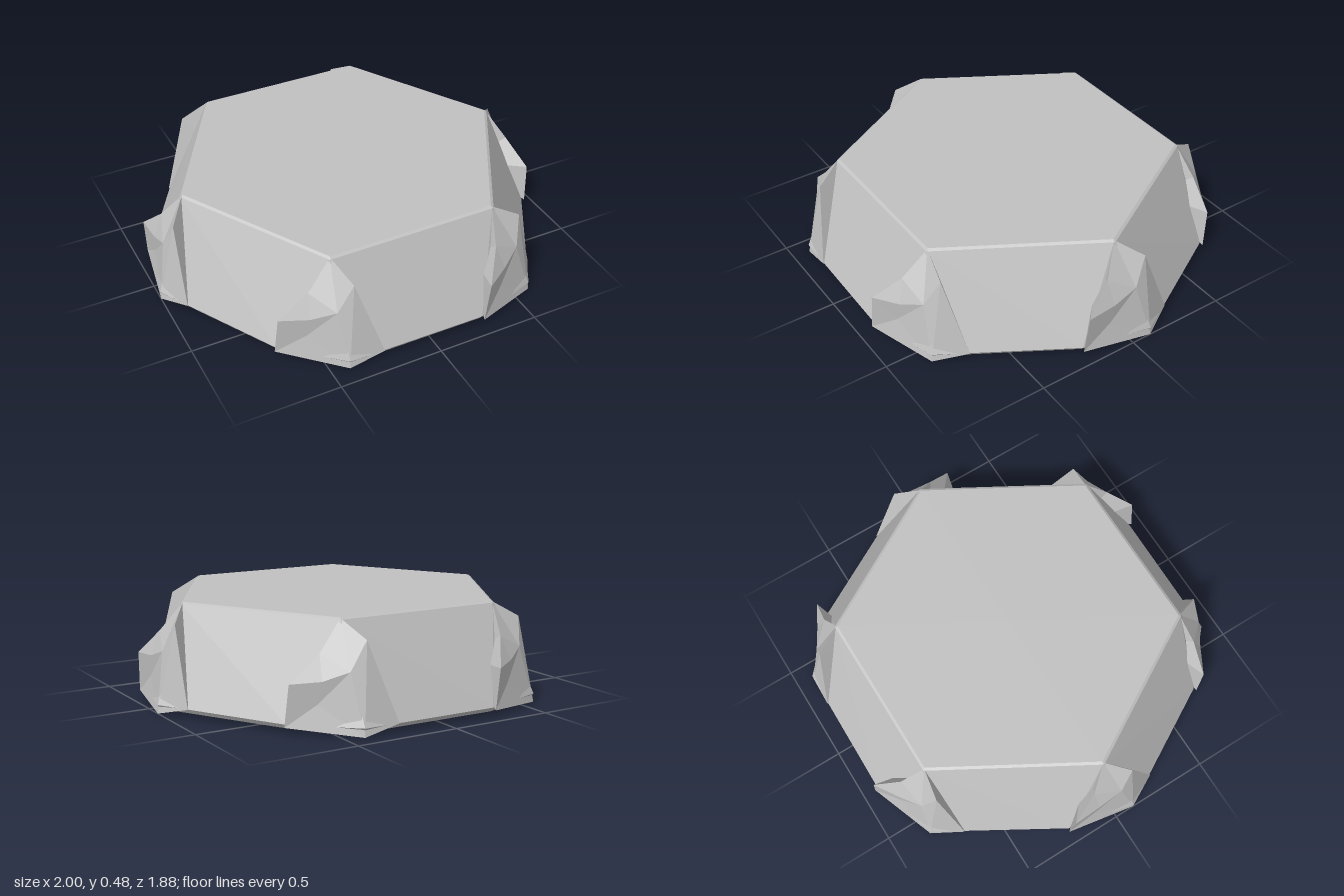
import * as THREE from 'three';

const stone = new THREE.MeshStandardMaterial({ color: 0xc0c0c0 });
stone.name = 'grey stone';
stone.flatShading = true;

function meshFrom(points, faces, name) {
  const geo = new THREE.BufferGeometry();
  geo.setAttribute('position', new THREE.Float32BufferAttribute(points.flat(), 3));
  geo.setIndex(faces.flat());
  const flat = geo.toNonIndexed();
  flat.computeVertexNormals();
  const mesh = new THREE.Mesh(flat, stone);
  mesh.name = name;
  return mesh;
}

// Hexagonal slab: each ring has two points per corner, spread apart at the foot
function makeSlab() {
  const rings = [ // height, then x and z of the two points at a corner
    [0.48, 0.815, 0, 0.815, 0],
    [0.472, 0.828, -0.003, 0.826, 0.006],
    [0.04, 1.0, -0.1, 0.93, 0.235],
    [0.02, 0.985, -0.1, 0.915, 0.232],
  ];
  const points = [], faces = [], n = 12;
  for (const [y, ax, az, bx, bz] of rings) {
    for (let k = 0; k < 6; k++) {
      const c = Math.cos(k * Math.PI / 3), s = Math.sin(k * Math.PI / 3);
      for (const [x, z] of [[ax, az], [bx, bz]]) points.push([x * c - z * s, y, x * s + z * c]);
    }
  }
  const last = (rings.length - 1) * n, top = points.length, bottom = top + 1;
  points.push([0, 0.48, 0], [0, 0.02, 0]);
  for (let i = 0; i < n; i++) {
    const j = (i + 1) % n;
    for (let r = 0; r < last; r += n) {
      faces.push([r + n + i, r + i, r + j], [r + n + i, r + j, r + n + j]);
    }
    faces.push([top, j, i], [bottom, last + i, last + j]);
  }
  return meshFrom(points, faces, 'hexagonalSlab');
}

// Craggy rock on the +x corner: an outline, a few inner points and a buried root
function makeRock() {
  const points = [
    [0.82, 0.478, 0],      // 0 peak
    [0.90, 0.34, 0.09],    // 1 shoulder
    [0.955, 0.22, 0.22],   // 2 side lobe
    [0.945, 0.03, 0.24],   // 3 lobe foot
    [1.0, 0.0, -0.1],      // 4 toe
    [0.92, 0.04, -0.25],   // 5 far foot
    [0.91, 0.40, -0.11],   // 6 upper ridge
    [0.945, 0.27, -0.04],  // 7 face
    [0.945, 0.13, 0.1],    // 8 hollow
    [0.95, 0.23, 0.08],    // 9 brow
    [0.70, 0.2, 0],        // 10 root
  ];
  const faces = [
    [0, 1, 7], [0, 7, 6], [6, 7, 4], [7, 8, 4], [8, 3, 4], [2, 3, 8],
    [1, 2, 9], [1, 9, 7], [2, 8, 9], [7, 9, 8], [6, 4, 5],
  ];
  for (let i = 0; i < 7; i++) faces.push([(i + 1) % 7, i, 10]);
  return meshFrom(points, faces, 'cornerRock');
}

export function createModel() {
  const group = new THREE.Group();
  group.name = 'hexagonalStonePlatform';
  group.add(makeSlab());
  // The same rock repeats round all six corners
  const rock = makeRock();
  for (let k = 0; k < 6; k++) {
    const copy = rock.clone();
    copy.name = 'cornerRock' + (k + 1);
    copy.rotation.y = k * Math.PI / 3;
    group.add(copy);
  }
  return group;
}
